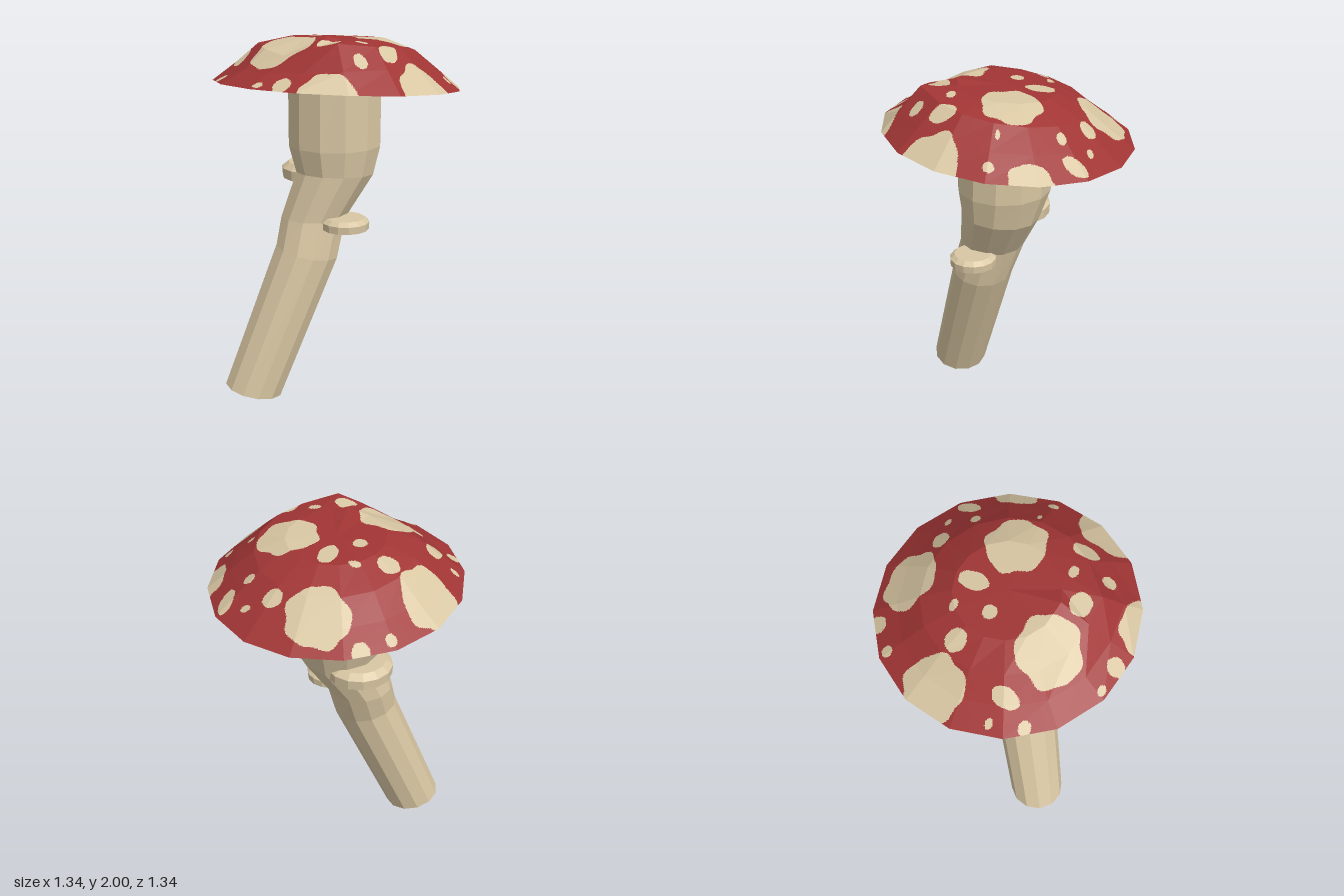
import * as THREE from 'three';

const cream = new THREE.MeshStandardMaterial({ color: 0xd9c7a3 });
cream.name = 'cream';
const red = new THREE.MeshStandardMaterial({ color: 0xa13535 });
red.name = 'red';

// A ring of n points; slopeX and slopeZ tilt it about its centre.
function ring(n, r, x, y, z, slopeX = 0, slopeZ = 0) {
  return Array.from({ length: n }, (_, i) => {
    const a = (i / n) * Math.PI * 2;
    const dx = r * Math.sin(a), dz = r * Math.cos(a);
    return new THREE.Vector3(x + dx, y + slopeX * dx + slopeZ * dz, z + dz);
  });
}

function centre(points) {
  return points.reduce((s, p) => s.add(p), new THREE.Vector3()).divideScalar(points.length);
}

// Triangles joining rings from bottom to top.
function loft(rings) {
  const tris = [];
  const n = rings[0].length;
  for (let k = 0; k + 1 < rings.length; k++) {
    for (let i = 0; i < n; i++) {
      const j = (i + 1) % n;
      const [a, b, c, d] = [rings[k][i], rings[k][j], rings[k + 1][j], rings[k + 1][i]];
      tris.push([a, b, c], [a, c, d]);
    }
  }
  return tris;
}

function fan(points, tip, up) {
  return points.map((p, i) => {
    const q = points[(i + 1) % points.length];
    return up ? [p, q, tip] : [q, p, tip];
  });
}

// Unshared corners give flat facets.
function geometryOf(tris) {
  const geo = new THREE.BufferGeometry().setFromPoints(tris.flat());
  geo.computeVertexNormals();
  return geo;
}

function solid(name, rings) {
  const top = rings[rings.length - 1];
  const tris = [...loft(rings), ...fan(rings[0], centre(rings[0]), false), ...fan(top, centre(top), true)];
  const mesh = new THREE.Mesh(geometryOf(tris), cream);
  mesh.name = name;
  return mesh;
}

// Split a flat facet into n * n smaller ones.
function subdivide([a, b, c], n) {
  const at = (i, j) => a.clone()
    .addScaledVector(b, i / n).addScaledVector(a, -i / n)
    .addScaledVector(c, j / n).addScaledVector(a, -j / n);
  const out = [];
  for (let i = 0; i < n; i++) {
    for (let j = 0; i + j < n; j++) {
      out.push([at(i, j), at(i + 1, j), at(i, j + 1)]);
      if (i + j < n - 1) out.push([at(i + 1, j), at(i + 1, j + 1), at(i, j + 1)]);
    }
  }
  return out;
}

// Spots seen from above: x, z, half width, half depth.
const bigSpots = [
  [-0.075, -0.485, 0.165, 0.127], [-0.535, -0.145, 0.142, 0.158], [0.24, -0.055, 0.16, 0.15],
  [-0.19, 0.3, 0.165, 0.158], [0.58, 0.31, 0.145, 0.165], [0.63, -0.23, 0.1, 0.13],
  [0.16, 0.65, 0.15, 0.11],
];
const smallSpots = [
  [-0.015, -0.165, 0.048, 0.078], [-0.165, -0.2, 0.032, 0.02], [-0.315, -0.12, 0.057, 0.053],
  [-0.135, -0.026, 0.038, 0.036], [0.175, -0.435, 0.052, 0.04], [0.31, -0.462, 0.026, 0.016],
  [0.345, -0.322, 0.03, 0.025], [0.44, -0.405, 0.04, 0.065], [-0.435, -0.445, 0.028, 0.028],
  [-0.32, -0.555, 0.045, 0.045], [0.46, -0.026, 0.02, 0.012], [0.6, -0.005, 0.022, 0.028],
  [-0.585, 0.168, 0.025, 0.018], [-0.462, 0.2, 0.042, 0.07], [-0.535, 0.33, 0.035, 0.03],
  [0.21, 0.255, 0.034, 0.024], [0.352, 0.265, 0.044, 0.07], [0.067, 0.35, 0.06, 0.055],
  [0.256, 0.425, 0.036, 0.036], [-0.223, 0.592, 0.028, 0.02], [-0.09, 0.61, 0.046, 0.046],
];

function inSpot(p) {
  const hit = (wobble) => ([x, z, rx, rz], i) => {
    const u = (p.x - x) / rx, v = (p.z - z) / rz;
    const a = Math.atan2(v, u);
    return Math.hypot(u, v) < 1 + wobble * (Math.sin(5 * a + i * 2) + 0.6 * Math.sin(8 * a + i));
  };
  return bigSpots.some(hit(0.05)) || smallSpots.some(hit(0.02));
}

function makeCap() {
  const rim = ring(16, 0.668, 0, 1.714, 0, -0.012, 0.087);
  const flank = ring(16, 0.54, 0, 1.815, 0, 0, 0.115);
  const shoulder = ring(16, 0.42, 0, 1.915, 0, 0, 0.15);
  const crown = ring(16, 0.26, 0, 1.963, 0, 0, 0.08);

  // Uneven front: sagging on its right, with a raised fold on its left
  flank[0].y = 1.85;
  flank[1].set(0.2, 1.865, 0.53);
  flank[14].y = 1.825;
  flank[15].y = 1.835;
  shoulder[0].y = 1.955;
  shoulder[1].set(0.14, 1.985, 0.43);
  shoulder[14].y = 1.925;
  shoulder[15].y = 1.91;
  crown[0].set(0.03, 2, 0.265);
  const tip = new THREE.Vector3(0, 1.967, 0);

  // Fine facets sorted into skin and spots
  const fine = [...loft([rim, flank, shoulder, crown]), ...fan(crown, tip, true)]
    .flatMap((t) => subdivide(t, 30));
  const spots = [], skin = [];
  for (const t of fine) (inSpot(centre(t)) ? spots : skin).push(t);

  const cap = new THREE.Group();
  cap.name = 'cap';
  const parts = [
    ['capSkin', skin, red],
    ['capSpots', spots, cream],
    ['capUnderside', fan(rim, new THREE.Vector3(0, 1.84, 0), false), cream],
  ];
  for (const [name, tris, material] of parts) {
    const mesh = new THREE.Mesh(geometryOf(tris), material);
    mesh.name = name;
    cap.add(mesh);
  }
  return cap;
}

// Small bracket fungus with a bevelled top
function makeShelf(name, r, x, y, z, h) {
  return solid(name, [
    ring(14, r * 0.98, x, y, z),
    ring(14, r, x, y + h * 0.65, z),
    ring(14, r * 0.8, x, y + h, z),
  ]);
}

export function createModel() {
  const model = new THREE.Group();
  model.name = 'mushroom';

  // Leaning, bent stem
  model.add(solid('stem', [
    ring(12, 0.157, -0.373, 0.036, 0.375, -0.2, 0.1),
    ring(12, 0.172, -0.12, 0.815, 0.17, -0.2, 0.05),
    ring(12, 0.182, -0.1, 1.0, 0.11),
    ring(12, 0.216, 0.002, 1.235, 0.045, 0, 0.08),
    ring(12, 0.256, -0.005, 1.39, 0.025),
    ring(12, 0.258, -0.007, 1.87, 0.013),
  ]));

  model.add(makeShelf('frontShelf', 0.13, 0.103, 0.96, 0.18, 0.062));
  model.add(makeShelf('backShelf', 0.185, -0.14, 1.185, -0.027, 0.085));
  model.add(makeCap());
  return model;
}
